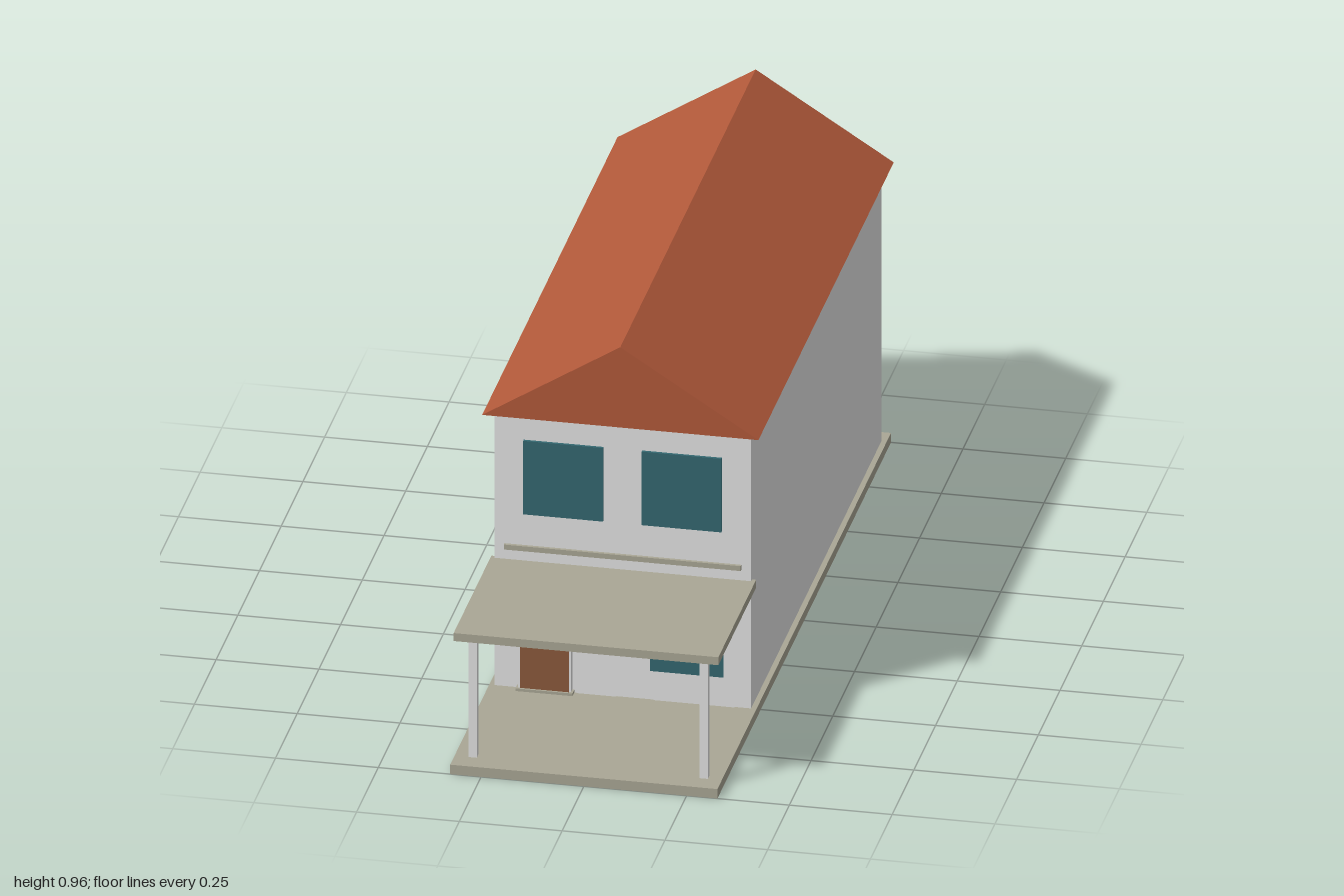
import * as THREE from 'three';

const mat = (name, color) => {
  const m = new THREE.MeshStandardMaterial({ color });
  m.name = name;
  return m;
};

export function createModel() {
  const house = new THREE.Group();
  house.name = 'house';
  const wall = mat('wall white', 0xe4e4e4);
  const roofTile = mat('roof terracotta', 0xb2593a);
  const stone = mat('stone beige', 0xaaa795);
  const glass = mat('window teal', 0x346871);
  const wood = mat('door brown', 0x8b5a3c);
  const metal = mat('handle dark', 0x3a3128);

  // Box given by its lower and upper limits on each axis
  const box = (name, material, x0, x1, y0, y1, z0, z1) => {
    const mesh = new THREE.Mesh(new THREE.BoxGeometry(x1 - x0, y1 - y0, z1 - z0), material);
    mesh.position.set((x0 + x1) / 2, (y0 + y1) / 2, (z0 + z1) / 2);
    mesh.name = name;
    house.add(mesh);
  };

  // Ground slab and main body
  box('baseSlab', stone, -0.325, 0.325, 0, 0.025, -1, 1);
  box('walls', wall, -0.312, 0.312, 0.025, 0.752, -0.95, 0.55);

  // Gable roof
  const gable = new THREE.Shape([
    new THREE.Vector2(-0.336, 0.75),
    new THREE.Vector2(0.336, 0.75),
    new THREE.Vector2(0, 0.962),
  ]);
  const roof = new THREE.Mesh(
    new THREE.ExtrudeGeometry(gable, { depth: 1.56, bevelEnabled: false }), roofTile);
  roof.position.z = -0.98;
  roof.name = 'roof';
  house.add(roof);

  // Porch canopy on two posts
  box('porchCanopy', stone, -0.322, 0.322, 0.34, 0.361, 0.54, 0.975);
  for (const s of [-1, 1]) {
    box('porchPost', wall, s * 0.281 - 0.01, s * 0.281 + 0.01, 0.025, 0.34, 0.93, 0.95);
  }

  // Ledge above the canopy and trim on the lower front wall
  box('ledge', stone, -0.288, 0.288, 0.389, 0.402, 0.545, 0.558);
  box('headTrim', wall, -0.272, 0.272, 0.288, 0.302, 0.545, 0.556);
  box('wallPanel', wall, -0.112, -0.015, 0.025, 0.288, 0.545, 0.553);
  box('wallPanel', wall, 0.075, 0.272, 0.025, 0.288, 0.545, 0.553);

  // Front door with frame, sill and handle
  box('doorLintel', wall, -0.257, -0.118, 0.288, 0.3, 0.545, 0.567);
  for (const x of [-0.252, -0.128]) box('doorJamb', wall, x, x + 0.005, 0.025, 0.288, 0.545, 0.565);
  box('doorSill', stone, -0.257, -0.118, 0.025, 0.032, 0.545, 0.572);
  box('door', wood, -0.247, -0.128, 0.032, 0.288, 0.545, 0.567);
  box('doorHandle', metal, -0.146, -0.143, 0.15, 0.17, 0.567, 0.576);

  // Front windows
  box('frontWindowLower', glass, 0.067, 0.246, 0.103, 0.247, 0.55, 0.557);
  for (const s of [-1, 1]) {
    box('frontWindowUpper', glass, s * 0.144 - 0.097, s * 0.144 + 0.097, 0.486, 0.68, 0.55, 0.557);
    // Back windows on both floors
    for (const y of [0.093, 0.5]) {
      box('backWindow', glass, s * 0.145 - 0.087, s * 0.145 + 0.087, y, y + 0.17, -0.957, -0.95);
    }
  }
  return house;
}
